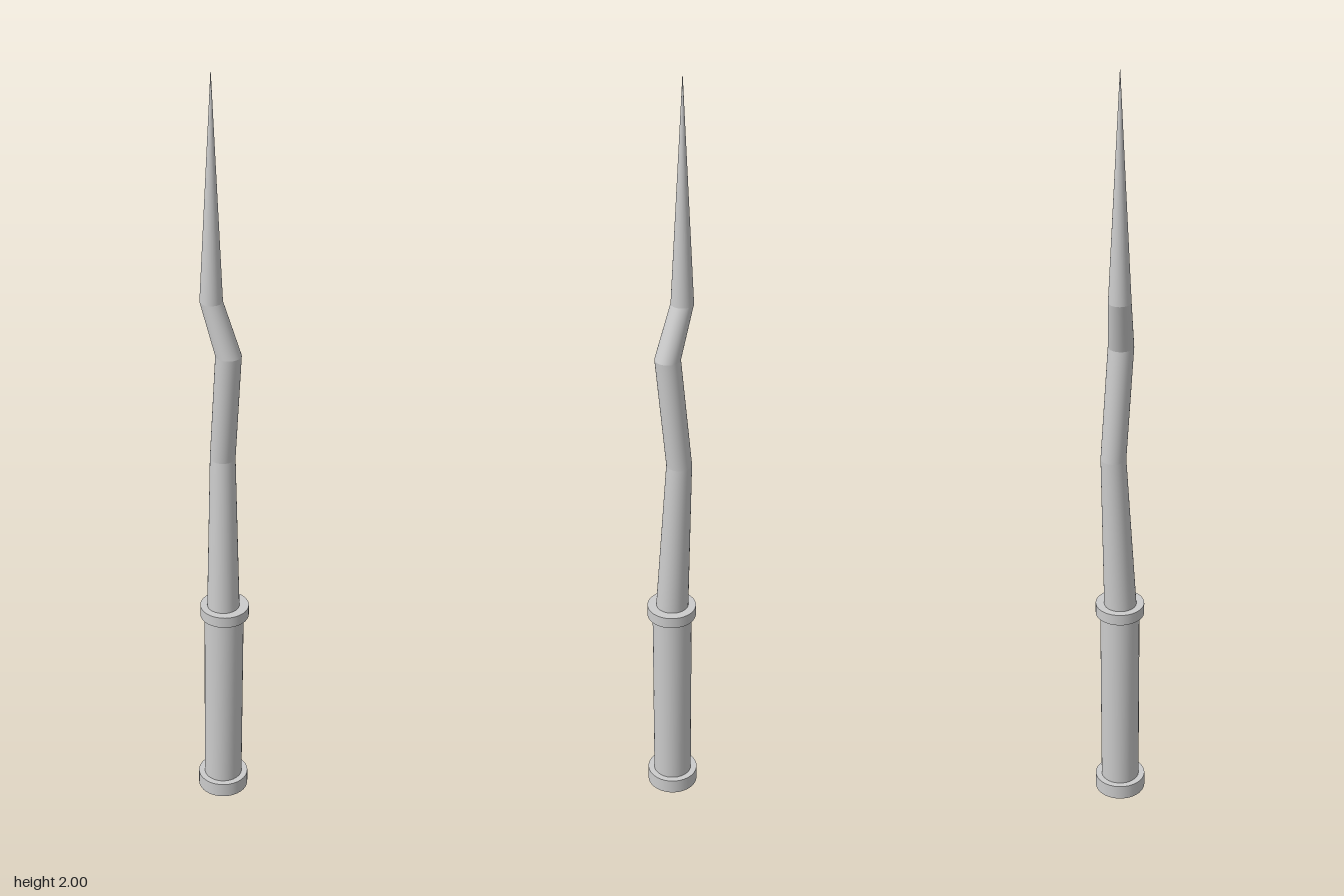
import * as THREE from 'three';

const SIDES = 32;
const material = new THREE.MeshStandardMaterial({ color: 0xcccccc });

// Smooth sheared tube between two level circles given as [x, y, z, radius]
function segment(a, b) {
  const positions = [], index = [];
  for (const [x, y, z, r] of [a, b]) {
    for (let i = 0; i < SIDES; i++) {
      const t = (i / SIDES) * Math.PI * 2;
      positions.push(x + r * Math.sin(t), y, z + r * Math.cos(t));
    }
  }
  for (let i = 0; i < SIDES; i++) {
    const j = (i + 1) % SIDES;
    index.push(i, j, SIDES + j, i, SIDES + j, SIDES + i);
  }
  const geometry = new THREE.BufferGeometry();
  geometry.setAttribute('position', new THREE.Float32BufferAttribute(positions, 3));
  geometry.setIndex(index);
  geometry.computeVertexNormals();
  return geometry;
}

export function createModel() {
  const group = new THREE.Group();
  const add = (name, geometry, x = 0, y = 0, z = 0) => {
    const mesh = new THREE.Mesh(geometry, material);
    mesh.name = name;
    mesh.position.set(x, y, z);
    group.add(mesh);
  };

  // Pommel, grip and collar
  add('pommel', new THREE.CylinderGeometry(0.066, 0.066, 0.04, SIDES), 0, 0.02, 0);
  add('grip', segment([0, 0.03, 0, 0.05], [0.002, 0.565, 0.001, 0.051]));
  add('collar', new THREE.CylinderGeometry(0.063, 0.063, 0.03, SIDES), 0.003, 0.568, 0.002);

  // Crooked shaft, one straight length per bend, ending in a point
  const bends = [
    [0, 0.575, 0.001, 0.042],
    [0.006, 1.01, -0.017, 0.032],
    [0.009, 1.305, 0.011, 0.032],
    [-0.022, 1.44, -0.021, 0.028],
    [-0.022, 2, -0.02, 0.0005],
  ];
  const names = ['lowerShaft', 'middleShaft', 'kink', 'tip'];
  names.forEach((name, i) => add(name, segment(bends[i], bends[i + 1])));

  return group;
}
